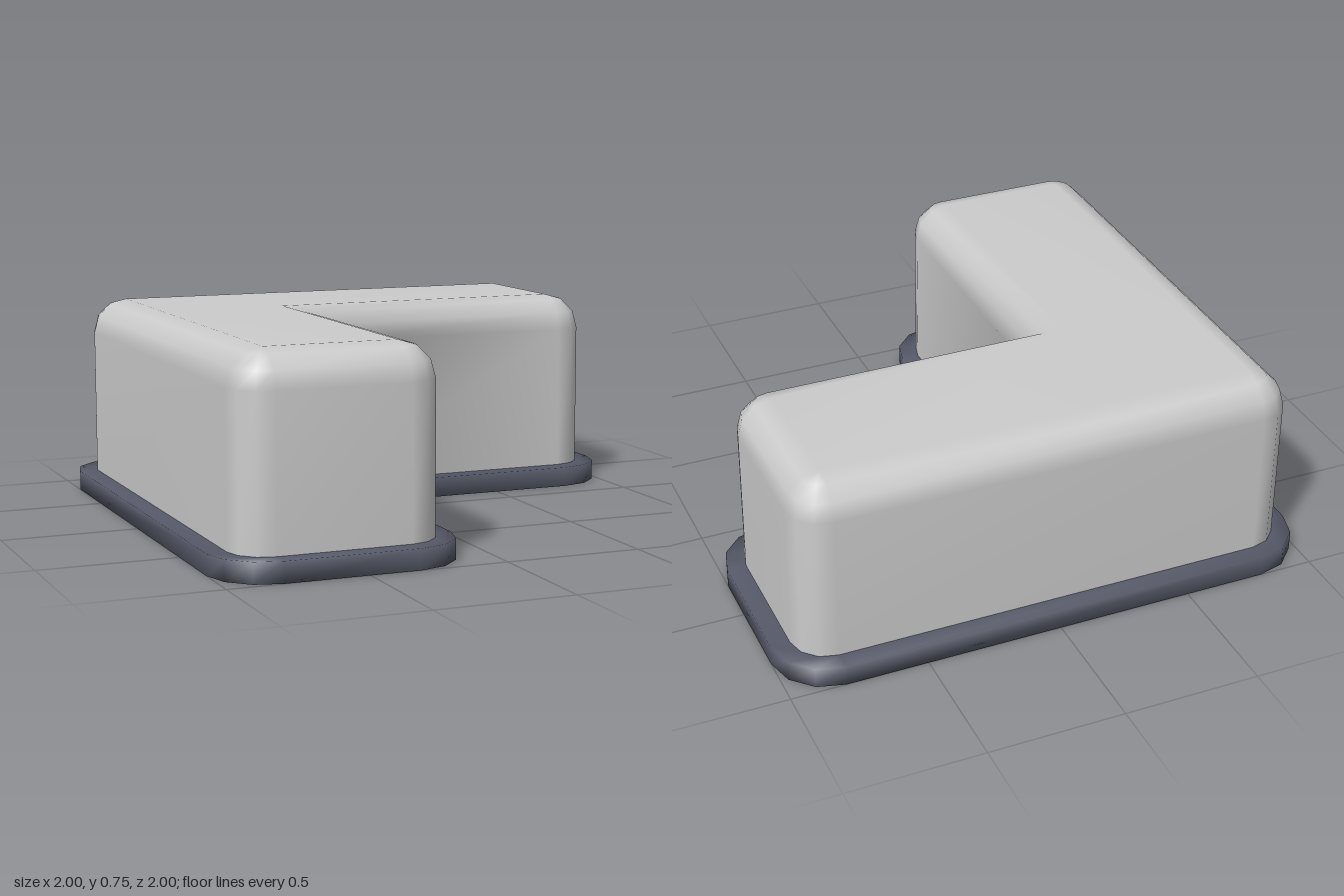
import * as THREE from 'three';
import { mergeVertices } from 'three/addons/utils/BufferGeometryUtils.js';

// Corner centres of the L, walked counter-clockwise seen from above
const CORNERS = [[0.8, -0.32], [0.8, -0.8], [-0.8, -0.8], [-0.8, 0.8], [-0.32, 0.8]];
const STEPS = 3;

// L outline grown by r: a sharp inner corner and five rounded outer ones
function outline(r) {
  const points = [[-0.32 + r, -0.32 + r]];
  CORNERS.forEach(([cx, cz], i) => {
    for (let s = 0; s <= STEPS; s++) {
      const a = Math.PI / 2 * (1 - i - s / STEPS);
      points.push([cx + r * Math.cos(a), cz + r * Math.sin(a)]);
    }
  });
  return points;
}

// Joins outlines given as [r, y] pairs, with an optional cap at each end
function loft(rings, capBottom, capTop) {
  const positions = [], index = [];
  const n = outline(0).length;
  for (const [r, y] of rings) {
    for (const [x, z] of outline(r)) positions.push(x, y, z);
  }
  for (let k = 0; k < rings.length - 1; k++) {
    for (let i = 0; i < n; i++) {
      const a = k * n + i, b = k * n + (i + 1) % n;
      index.push(a, b, b + n, a, b + n, a + n);
    }
  }
  const cap = (k, up) => {
    const flat = outline(rings[k][0]).map(([x, z]) => new THREE.Vector2(x, -z));
    for (const [a, b, c] of THREE.ShapeUtils.triangulateShape(flat, [])) {
      const o = k * n;
      if (up) index.push(o + a, o + b, o + c);
      else index.push(o + a, o + c, o + b);
    }
  };
  if (capBottom) cap(0, false);
  if (capTop) cap(rings.length - 1, true);
  let geometry = new THREE.BufferGeometry();
  geometry.setAttribute('position', new THREE.Float32BufferAttribute(positions, 3));
  geometry.setIndex(index);
  geometry = mergeVertices(geometry, 1e-5);
  geometry.computeVertexNormals();
  return geometry;
}

export function createModel() {
  const group = new THREE.Group();
  group.name = 'cornerBlock';

  // Dark base slab with a ledge around the body
  const base = new THREE.Mesh(
    loft([[0.2, 0], [0.2, 0.075], [0.13, 0.075]], true, false),
    new THREE.MeshStandardMaterial({ color: 0x565968 })
  );
  base.name = 'base';

  // Body with straight walls and a rounded top edge
  const R = 0.13, top = 0.75;
  const rings = [[R, 0.075]];
  for (let s = 0; s <= STEPS; s++) {
    const a = s / STEPS * Math.PI / 2;
    rings.push([s === STEPS ? 0 : R * Math.cos(a), top - R + R * Math.sin(a)]);
  }
  const body = new THREE.Mesh(
    loft(rings, false, true),
    new THREE.MeshStandardMaterial({ color: 0xcccccc })
  );
  body.name = 'body';

  group.add(base, body);
  return group;
}
